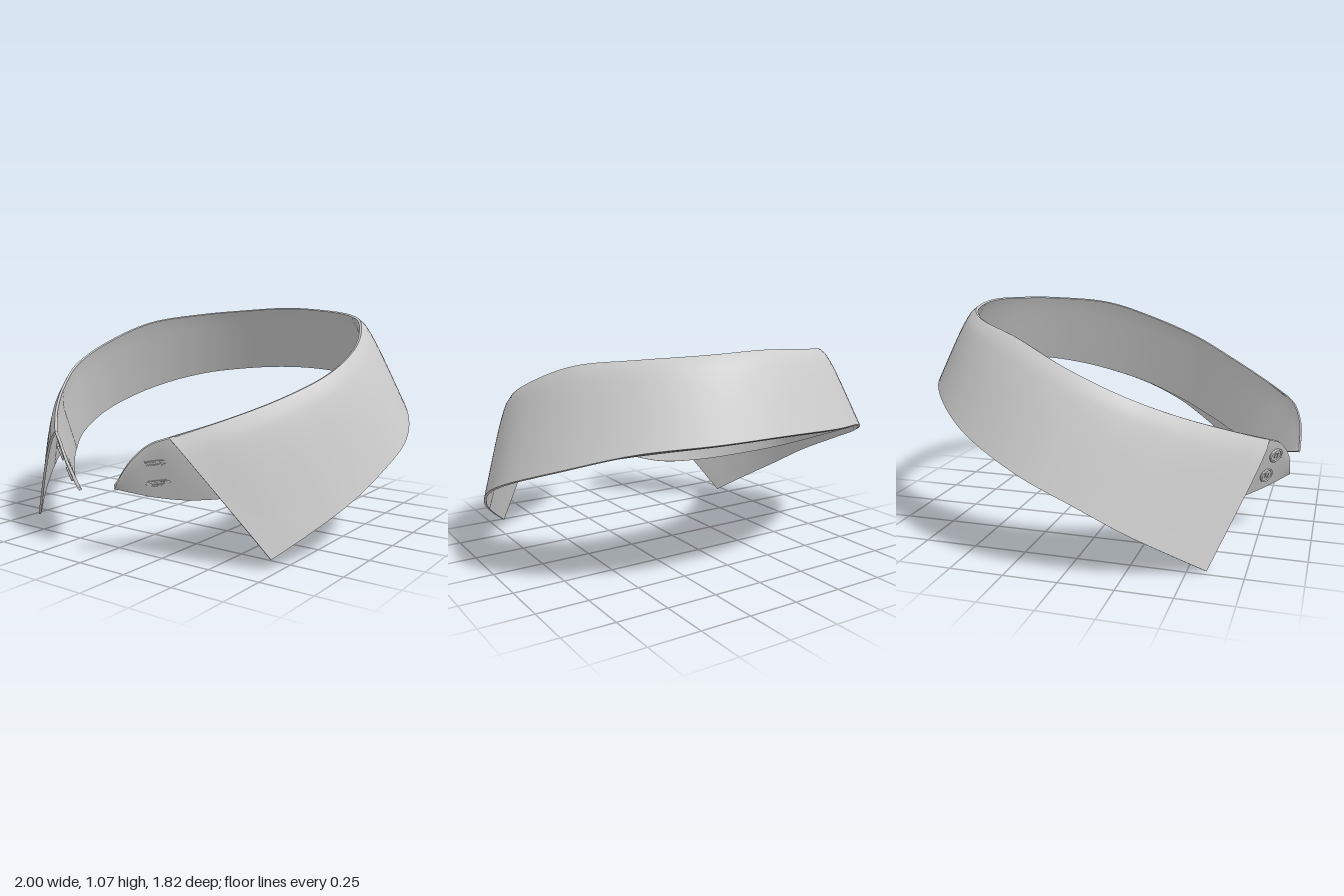
import * as THREE from 'three';
import { toCreasedNormals } from 'three/addons/utils/BufferGeometryUtils.js';

// Half outlines, from the centre back to the front on the left side
const FOLD = [[0, 1.07, -.72], [.26, 1.06, -.68], [.5, 1.04, -.53], [.68, 1, -.28], [.78, .9, -.01],
  [.775, .8, .24], [.67, .71, .45], [.51, .625, .66], [.35, .56, .82]];
const LEAF_EDGE = [[0, .725, -.91], [.32, .715, -.865], [.62, .68, -.7], [.85, .59, -.46], [.985, .475, -.15],
  [.98, .37, .09], [.92, .255, .29], [.82, .145, .47], [.72, .052, .61]];
const STAND_TOP = [...FOLD, [.28, .53, .865], [.2, .45, .9], [.12, .34, .905]];
const STAND_EDGE = [[0, .715, -.885], [.3, .705, -.84], [.59, .67, -.68], [.79, .6, -.44], [.89, .5, -.14],
  [.86, .41, .11], [.74, .345, .31], [.54, .285, .53], [.36, .27, .68], [.25, .285, .775], [.17, .31, .85], [.115, .33, .9]];

// Mirrored curve; the right side hangs slightly lower and further back
function loopCurve(half) {
  const left = half.map(p => new THREE.Vector3(...p));
  const right = half.slice(1).map(([x, y, z], i) => {
    const s = Math.min(1, (i + 1) / 8);
    return new THREE.Vector3(-x, y - .046 * s, z - .03 * s);
  });
  return new THREE.CatmullRomCurve3([...right.reverse(), ...left]);
}

// Surface between two curves, returning point and outward normal
function band(topHalf, edgeHalf, bulge) {
  const top = loopCurve(topHalf), edge = loopCurve(edgeHalf);
  const flat = (u, v) => top.getPoint(u).lerp(edge.getPoint(u), v);
  return (u, v) => {
    const du = flat(Math.min(1, u + .002), v).sub(flat(Math.max(0, u - .002), v));
    const dv = edge.getPoint(u).sub(top.getPoint(u));
    const normal = du.cross(dv).normalize();
    const point = flat(u, v).addScaledVector(normal, bulge * Math.sin(Math.PI * Math.sqrt(v)));
    return { point, normal };
  };
}

// Closed cloth shell of even thickness over a band
function cloth(surface, nu, nv, thickness) {
  const pos = [], idx = [], ring = 2 * (nv + 1);
  for (let i = 0; i <= nu; i++) {
    for (let j = 0; j < ring; j++) {
      const outer = j <= nv;
      const { point, normal } = surface(i / nu, (outer ? j : ring - 1 - j) / nv);
      point.addScaledVector(normal, (outer ? .5 : -.5) * thickness);
      pos.push(point.x, point.y, point.z);
    }
  }
  for (let i = 0; i < nu; i++) {
    for (let j = 0; j < ring; j++) {
      const k = (j + 1) % ring, a = i * ring, b = a + ring;
      idx.push(a + j, b + j, b + k, a + j, b + k, a + k);
    }
  }
  const e = nu * ring;
  for (let j = 0; j < nv; j++) {
    const n = ring - 1 - j;
    idx.push(j, j + 1, n - 1, j, n - 1, n);
    idx.push(e + j, e + n - 1, e + j + 1, e + j, e + n, e + n - 1);
  }
  const geo = new THREE.BufferGeometry();
  geo.setAttribute('position', new THREE.Float32BufferAttribute(pos, 3));
  geo.setIndex(idx);
  return toCreasedNormals(geo, .7);
}

export function createModel() {
  const model = new THREE.Group();
  model.name = 'shirtCollar';
  const material = new THREE.MeshStandardMaterial({ color: 0xcccccc, side: THREE.DoubleSide });
  const add = (parent, name, geo, x = 0, y = 0, z = 0) => {
    const mesh = new THREE.Mesh(geo, material);
    mesh.name = name;
    mesh.position.set(x, y, z);
    parent.add(mesh);
    return mesh;
  };

  const leaf = band(FOLD, LEAF_EDGE, .018);
  const stand = band(STAND_TOP, STAND_EDGE, .004);
  add(model, 'collarLeaf', cloth(leaf, 128, 12, .012));
  add(model, 'collarStand', cloth(stand, 160, 12, .012));

  // Group lying on the stand, its z axis facing outward
  const onStand = (name, index, v) => {
    const g = new THREE.Group();
    const { point, normal } = stand((index + 11) / 22, v);
    g.name = name;
    g.position.copy(point).addScaledVector(normal, .006);
    g.quaternion.setFromUnitVectors(new THREE.Vector3(0, 0, 1), normal);
    model.add(g);
    return g;
  };

  // Four-hole buttons on the right end
  for (const v of [.24, .66]) {
    const button = onStand('button', -8.9, v);
    const disc = new THREE.Shape().absarc(0, 0, .034, 0, Math.PI * 2);
    for (const x of [-.009, .009]) for (const y of [-.009, .009]) {
      disc.holes.push(new THREE.Path().absarc(x, y, .0045, 0, Math.PI * 2, true));
    }
    add(button, 'buttonDisc', new THREE.ExtrudeGeometry(disc, { depth: .008, bevelEnabled: false, curveSegments: 24 }));
    add(button, 'buttonRim', new THREE.TorusGeometry(.032, .0045, 8, 32), 0, 0, .008);
    for (const x of [-.009, .009]) add(button, 'buttonThread', new THREE.BoxGeometry(.004, .02, .004), x, 0, .009);
  }

  // Stitched buttonholes on the left end
  for (const v of [.33, .7]) {
    const hole = onStand('buttonhole', 8.9, v);
    add(hole, 'buttonholeEdge', new THREE.TorusGeometry(.01, .003, 6, 32)).scale.x = 4.2;
    for (let i = 0; i < 14; i++) {
      for (const side of [-1, 1]) {
        const stitch = add(hole, 'buttonholeStitch', new THREE.BoxGeometry(.003, .011, .004),
          -.039 + i * .006, side * .009, .002);
        stitch.rotation.z = side * .25;
      }
    }
  }
  return model;
}
